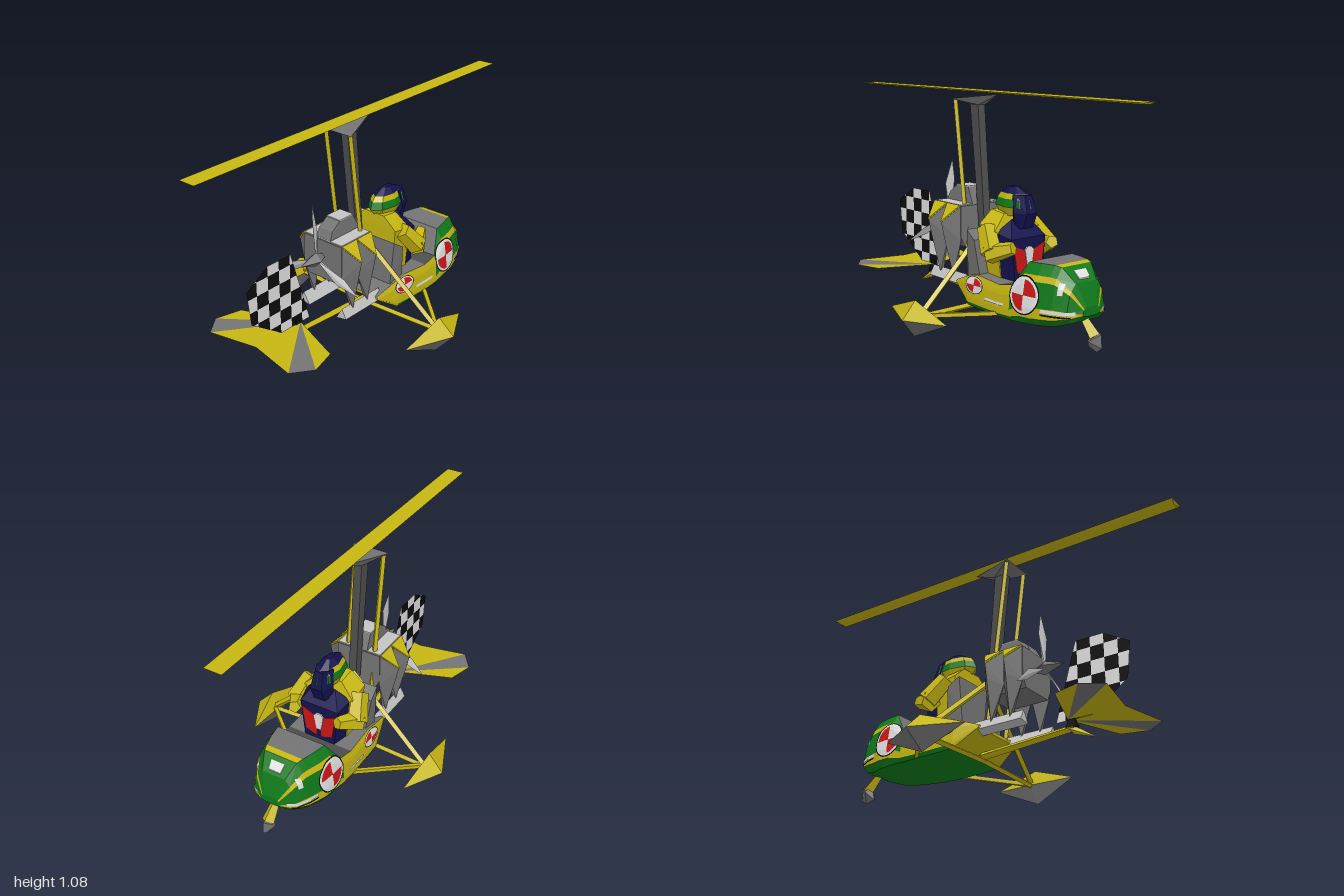
import * as THREE from 'three';
import { mergeGeometries } from 'three/addons/utils/BufferGeometryUtils.js';
import { ConvexGeometry } from 'three/addons/geometries/ConvexGeometry.js';

const mats = {};
for (const [name, color] of Object.entries({
  yellow: 0xc6b612, green: 0x0f7a1a, grey: 0x747474, lightGrey: 0xc4c4c4, darkGrey: 0x4e4e4e,
  navy: 0x12124e, red: 0xcc1616, white: 0xe0e0e0, black: 0x0c0c0c,
})) {
  mats[name] = new THREE.MeshStandardMaterial({ color, flatShading: true, side: THREE.DoubleSide });
  mats[name].name = name;
}

const V = (x, y, z) => new THREE.Vector3(x, y, z);
const lerp = THREE.MathUtils.lerp;

// Hull sections: z, bottom half width, side half width, top half width, bottom y, top y
const SECTIONS = [
  [0.04, 0.145, 0.15, 0.145, 0.19, 0.205],
  [-0.08, 0.175, 0.18, 0.165, 0.113, 0.25],
  [-0.14, 0.175, 0.183, 0.165, 0.11, 0.262],
  [-0.3, 0.175, 0.185, 0.17, 0.107, 0.25],
  [-0.38, 0.172, 0.183, 0.165, 0.107, 0.265],
  [-0.45, 0.165, 0.18, 0.125, 0.11, 0.375],
  [-0.52, 0.15, 0.172, 0.112, 0.112, 0.377],
  [-0.58, 0.125, 0.152, 0.095, 0.115, 0.377],
  [-0.61, 0.115, 0.142, 0.085, 0.12, 0.372],
  [-0.67, 0.08, 0.11, 0.06, 0.14, 0.31],
  [-0.705, 0.03, 0.05, 0.03, 0.17, 0.21],
];
const LEVELS = [0, 0.12, 0.3, 0.72, 0.82, 1]; // height fractions around half a ring
const INSET = [0, 0, 0, 0.3, 0.5, 1];
const COWL = 4, OPENING = 7; // first cowl section, front of the cockpit opening

function halfWidth([, wb, wm, wt], t) {
  const k = Math.max(1, LEVELS.findIndex((l) => t <= l));
  if (k === 1) return lerp(wb, wm, t / LEVELS[1]);
  const f = (t - LEVELS[k - 1]) / (LEVELS[k] - LEVELS[k - 1]);
  return lerp(wm, wt, lerp(INSET[k - 1], INSET[k], f));
}

function hullX(y, z) {
  let i = 1;
  while (i < SECTIONS.length - 1 && SECTIONS[i][0] > z) i++;
  const a = SECTIONS[i - 1], b = SECTIONS[i];
  const s = a.map((v, n) => lerp(v, b[n], (z - a[0]) / (b[0] - a[0])));
  return halfWidth(s, THREE.MathUtils.clamp((y - s[4]) / (s[5] - s[4]), 0, 1));
}

function bandColour(i, k) {
  const band = k > 5 ? 10 - k : k; // mirrored side
  if (k === 11) return i < 1 ? 'yellow' : 'green';
  if (k === 5) return i < 3 ? 'grey' : i < COWL ? 'darkGrey' : i < OPENING ? 'grey' : i === OPENING ? 'yellow' : 'green';
  if (band === 0) return i < 1 ? 'yellow' : 'green';
  return i < COWL ? 'yellow' : ['green', 'yellow', 'green', 'yellow', 'green'][band];
}

export function createModel() {
  const root = new THREE.Group();
  root.name = 'gyrocopter';

  const add = (name, geo, mat) => {
    const m = new THREE.Mesh(geo, mats[mat]);
    m.name = name;
    root.add(m);
    return m;
  };
  const convex = (name, mat, pts) => add(name, new ConvexGeometry(pts.map((p) => V(...p))), mat);
  // Convex part symmetric in x
  const sym = (name, mat, pts) => convex(name, mat, pts.flatMap(([x, y, z]) => (x ? [[x, y, z], [-x, y, z]] : [[x, y, z]])));
  // Convex part built once on each side
  const pair = (name, mat, pts) => { for (const s of [1, -1]) convex(name, mat, pts.map(([x, y, z]) => [s * x, y, z])); };
  // The same outline at two depths
  const slab = (pts, z0, z1) => pts.flatMap(([x, y]) => [[x, y, z0], [x, y, z1]]);
  const bar = (name, mat, a, b, r, r2 = r, sides = 4) => {
    const p = V(...a), d = V(...b).sub(p);
    const m = add(name, new THREE.CylinderGeometry(r2, r, d.length(), sides), mat);
    m.quaternion.setFromUnitVectors(V(0, 1, 0), d.clone().normalize());
    m.position.copy(p).addScaledVector(d, 0.5);
  };
  const barPair = (name, mat, a, b, r, r2, n) => {
    for (const s of [1, -1]) bar(name, mat, [s * a[0], a[1], a[2]], [s * b[0], b[1], b[2]], r, r2, n);
  };

  // Hull: lofted rings, each band sorted into its colour
  const rings = SECTIONS.map((s) => {
    const half = LEVELS.map((t) => V(halfWidth(s, t), lerp(s[4], s[5], t), s[0]));
    return [...half, ...half.map((p) => V(-p.x, p.y, p.z)).reverse()];
  });
  const tris = {};
  const tri = (c, ...p) => (tris[c] ??= []).push(...p);
  for (let i = 0; i < rings.length - 1; i++) {
    for (let k = 0; k < 12; k++) {
      const n = (k + 1) % 12;
      const [a, b, c, d] = [rings[i][k], rings[i][n], rings[i + 1][n], rings[i + 1][k]];
      tri(bandColour(i, k), a, d, c, a, c, b);
    }
  }
  const last = rings[rings.length - 1];
  for (let k = 1; k < 11; k++) {
    tri('yellow', rings[0][0], rings[0][k], rings[0][k + 1]);
    tri('green', last[0], last[k + 1], last[k]);
  }
  for (const [c, pts] of Object.entries(tris)) {
    const g = new THREE.BufferGeometry().setFromPoints(pts);
    g.computeVertexNormals();
    add('hull ' + c, g, c);
  }

  // Painted details wrapped onto both hull sides: u runs along z, v along y
  const decal = (name, mat, make, z, y) => {
    for (const s of [1, -1]) {
      const g = make(), p = g.attributes.position;
      for (let i = 0; i < p.count; i++) {
        const zz = p.getX(i) + z, yy = p.getY(i) + y;
        p.setXYZ(i, s * (hullX(yy, zz) + 0.004), yy, zz);
      }
      if (s > 0) g.index.array.reverse();
      g.computeVertexNormals();
      add(name, g, mat);
    }
  };
  for (const [z, y, r, squash] of [[-0.465, 0.237, 0.086, 1], [-0.13, 0.215, 0.066, 0.6]]) {
    const ring = (a, b, ...arc) => () => new THREE.RingGeometry(r * a, r * b, ...arc).scale(1, squash, 1);
    decal('roundel rim', 'black', ring(0.93, 1, 24, 1), z, y);
    decal('roundel border', 'white', ring(0.8, 0.93, 24, 1), z, y);
    for (let q = 0; q < 4; q++) {
      decal('roundel quarter', q % 2 ? 'red' : 'white', ring(0.02, 0.8, 6, 4, q * Math.PI / 2, Math.PI / 2), z, y);
    }
  }
  const strip = (w, h) => () => new THREE.PlaneGeometry(w, h, 10, 2);
  decal('nose stripe', 'white', strip(0.13, 0.016), -0.625, 0.185);
  decal('nose line', 'black', strip(0.12, 0.008), -0.62, 0.168);
  decal('lower stripe', 'white', strip(0.13, 0.013), -0.28, 0.17);
  decal('nose flash', 'white', strip(0.02, 0.05), -0.635, 0.285);
  sym('nose top flash', 'white', [[0.035, 0.356, -0.63], [0.03, 0.326, -0.66], [0.035, 0.35, -0.63], [0.03, 0.32, -0.66]]);

  // Nose wheel and its fork
  bar('nose fork', 'yellow', [0, 0.15, -0.66], [0, 0.08, -0.73], 0.02, 0.032);
  sym('nose wheel', 'grey', [[0.035, 0.065, -0.72], [0, 0.115, -0.71], [0, 0.017, -0.74], [0, 0.03, -0.69],
    [0, 0.1, -0.765], [0, 0.04, -0.77]]);

  // Main gear: spats, axle and struts
  const rim = [[0.42, 0.095, -0.25], [0.425, 0.095, 0.175], [0.525, 0.095, -0.06], [0.412, 0.095, -0.06]];
  pair('spat top', 'yellow', [...rim, [0.447, 0.173, -0.05]]);
  pair('spat bottom', 'grey', [...rim, [0.445, 0.002, -0.035]]);
  barPair('axle', 'yellow', [0, 0.095, -0.04], [0.43, 0.095, -0.06], 0.014);
  barPair('rising strut', 'yellow', [0.43, 0.1, -0.06], [0.01, 0.465, -0.02], 0.015);
  barPair('forward strut', 'yellow', [0.43, 0.1, -0.06], [0.15, 0.12, -0.31], 0.013);

  // Tail boom and skid
  bar('tail boom', 'yellow', [0, 0.115, -0.05], [0, 0.145, 0.44], 0.02, 0.016);
  sym('tail skid', 'yellow', [[0.02, 0.14, 0.42], [0, 0.155, 0.44], [0, 0.115, 0.44], [0, 0.078, 0.55]]);
  sym('rudder post', 'black', [[0.012, 0.145, 0.4], [0.012, 0.145, 0.46], [0, 0.23, 0.43]]);

  // Tail fin: chequer squares clipped to the outline (z, y)
  const fin = [[0.73, 0.48], [0.6, 0.555], [0.46, 0.555], [0.35, 0.185], [0.53, 0.185], [0.71, 0.31]];
  const clip = (poly, axis, limit, sign) => poly.flatMap((p, i) => {
    const q = poly[(i + 1) % poly.length];
    const a = sign * (p[axis] - limit), b = sign * (q[axis] - limit);
    const out = a >= 0 ? [p] : [];
    if (a * b < 0) out.push([0, 1].map((n) => lerp(p[n], q[n], a / (a - b))));
    return out;
  });
  const squares = [[], []], cell = 0.068;
  for (let i = 0; i < 6; i++) {
    for (let j = 0; j < 6; j++) {
      const z = 0.33 + i * cell, y = 0.165 + j * cell;
      const p = clip(clip(clip(clip(fin, 0, z, 1), 0, z + cell, -1), 1, y, 1), 1, y + cell, -1);
      if (p.length > 2) squares[(i + j) % 2].push(new THREE.ShapeGeometry(new THREE.Shape(p.map((c) => new THREE.Vector2(...c)))));
    }
  }
  squares.forEach((s, i) => add('fin squares', mergeGeometries(s).rotateY(-Math.PI / 2), i ? 'black' : 'white'));

  // Tailplanes: three flat facets a side
  const flat = (name, mat, pts) => {
    for (const s of [1, -1]) {
      const shape = new THREE.Shape(pts.map(([x, z]) => new THREE.Vector2(s * x, -z)));
      add(name, new THREE.ShapeGeometry(shape).rotateX(-Math.PI / 2), mat).position.y = 0.187;
    }
  };
  flat('tailplane front', 'yellow', [[0, 0.41], [0.28, 0.515], [0.315, 0.645]]);
  flat('tailplane middle', 'grey', [[0, 0.41], [0.315, 0.645], [0.245, 0.74]]);
  flat('tailplane rear', 'yellow', [[0, 0.41], [0.245, 0.74], [0, 0.69]]);

  // Rotor, head, mast and braces
  sym('rotor blade', 'yellow', [-1, 1].flatMap((z) => [[0.043, 1.081, z], [0.012, 1.072, z * 0.99]]));
  sym('rotor head', 'grey', [[0, 1.068, -0.085], [0.092, 1.04, 0.16], [0.02, 1.014, 0.1], [0.02, 1.014, 0.035]]);
  sym('mast', 'darkGrey', [[0.02, 1.02, 0.1], [0.02, 1.02, 0.04], [0.02, 0.17, 0.005], [0.02, 0.17, -0.03]]);
  barPair('mast brace', 'yellow', [0.072, 0.2, 0.03], [0.072, 1.035, 0.142], 0.013);

  // Engine block, cylinders with painted heads, and exhaust pipes
  sym('engine block', 'grey', slab([[0.115, 0.545], [0.115, 0.4], [0.09, 0.35]], 0.05, 0.255));
  sym('engine top plate', 'lightGrey', slab([[0.113, 0.546], [0.113, 0.551]], 0.055, 0.25));
  sym('air box', 'grey', [...slab([[0.045, 0.55]], 0.05, 0.25), ...slab([[0.04, 0.625]], 0.09, 0.18), [0.04, 0.59, 0.23]]);
  sym('air box lid', 'lightGrey', slab([[0.04, 0.625], [0.04, 0.63]], 0.09, 0.18));
  for (const z of [0.102, 0.203]) {
    pair('cylinder', 'grey', [...slab([[0.113, 0.545], [0.113, 0.38]], z - 0.05, z + 0.05), [0.19, 0.47, z], [0.175, 0.4, z],
      [0.13, 0.21, z - 0.01], [0.11, 0.21, z - 0.01]]);
    pair('cylinder head', 'yellow', [0, 0.005].flatMap((d) => [[0.114 + d, 0.546 + d, z - 0.05],
      [0.114 + d, 0.546 + d, z + 0.05], [0.19 + d, 0.471 + d, z]]));
  }
  pair('exhaust pipe', 'lightGrey', [0.0, 0.26].flatMap((z) => [[0.145, 0.185, z], [0.085, 0.175, z], [0.12, 0.232, z]]));

  // Pusher propeller
  sym('propeller hub', 'grey', [[0.036, 0.465, 0.3], [0, 0.5, 0.3], [0, 0.43, 0.3], [0, 0.465, 0.4], [0, 0.465, 0.23]]);
  for (const angle of [0.04, 2.1, -2.02]) {
    const m = convex('propeller blade', 'lightGrey', [[0, 0, 0.006], [0, 0, -0.006], [0.022, 0.15, 0.008],
      [-0.022, 0.17, -0.008], [0, 0.16, 0.006], [-0.01, 0.27, 0]]);
    m.position.set(0, 0.465, 0.295);
    m.rotation.z = angle;
  }

  // Seat
  sym('seat back', 'grey', [[0.15, 0.24, -0.05], [0.15, 0.24, -0.14], [0.165, 0.46, -0.06], [0.17, 0.42, -0.12]]);

  // Pilot
  sym('torso', 'yellow', [[0.1, 0.24, -0.12], [0.1, 0.24, -0.23], [0.13, 0.49, -0.11], [0.13, 0.47, -0.22],
    [0.06, 0.55, -0.11], [0.06, 0.54, -0.2]]);
  sym('chest', 'navy', [[0.1, 0.25, -0.22], [0.08, 0.25, -0.3], [0.115, 0.46, -0.21], [0.1, 0.44, -0.3], [0.05, 0.52, -0.24]]);
  pair('chest panel', 'red', slab([[0.012, 0.27], [0.07, 0.29], [0.09, 0.41], [0.045, 0.37], [0.012, 0.38]], -0.304, -0.298));
  sym('chest badge', 'white', slab([[0.012, 0.31], [0.012, 0.4], [0.025, 0.385]], -0.307, -0.3));
  barPair('upper arm', 'yellow', [0.13, 0.48, -0.16], [0.165, 0.38, -0.24], 0.042, 0.05, 5);
  barPair('forearm', 'yellow', [0.165, 0.375, -0.22], [0.115, 0.41, -0.33], 0.05, 0.03, 5);

  // Helmet: stacked colour bands with a dark face
  const bands = [[0.53, 0.08], [0.572, 0.118, 'yellow'], [0.608, 0.104, 'green'], [0.632, 0.085, 'yellow'], [0.66, 0.03, 'navy']];
  bands.slice(1).forEach(([y, r, c], i) => {
    const [y0, r0] = bands[i];
    const m = add('helmet band', new THREE.CylinderGeometry(r, r0, y - y0, 8), c);
    m.scale.x = 0.52;
    m.position.set(0, (y + y0) / 2, -0.2);
  });
  sym('visor', 'navy', [[0.045, 0.63, -0.24], [0.02, 0.63, -0.295], [0.055, 0.55, -0.26], [0.03, 0.55, -0.322], [0.03, 0.48, -0.295], [0.04, 0.48, -0.24]]);

  return root;
}
